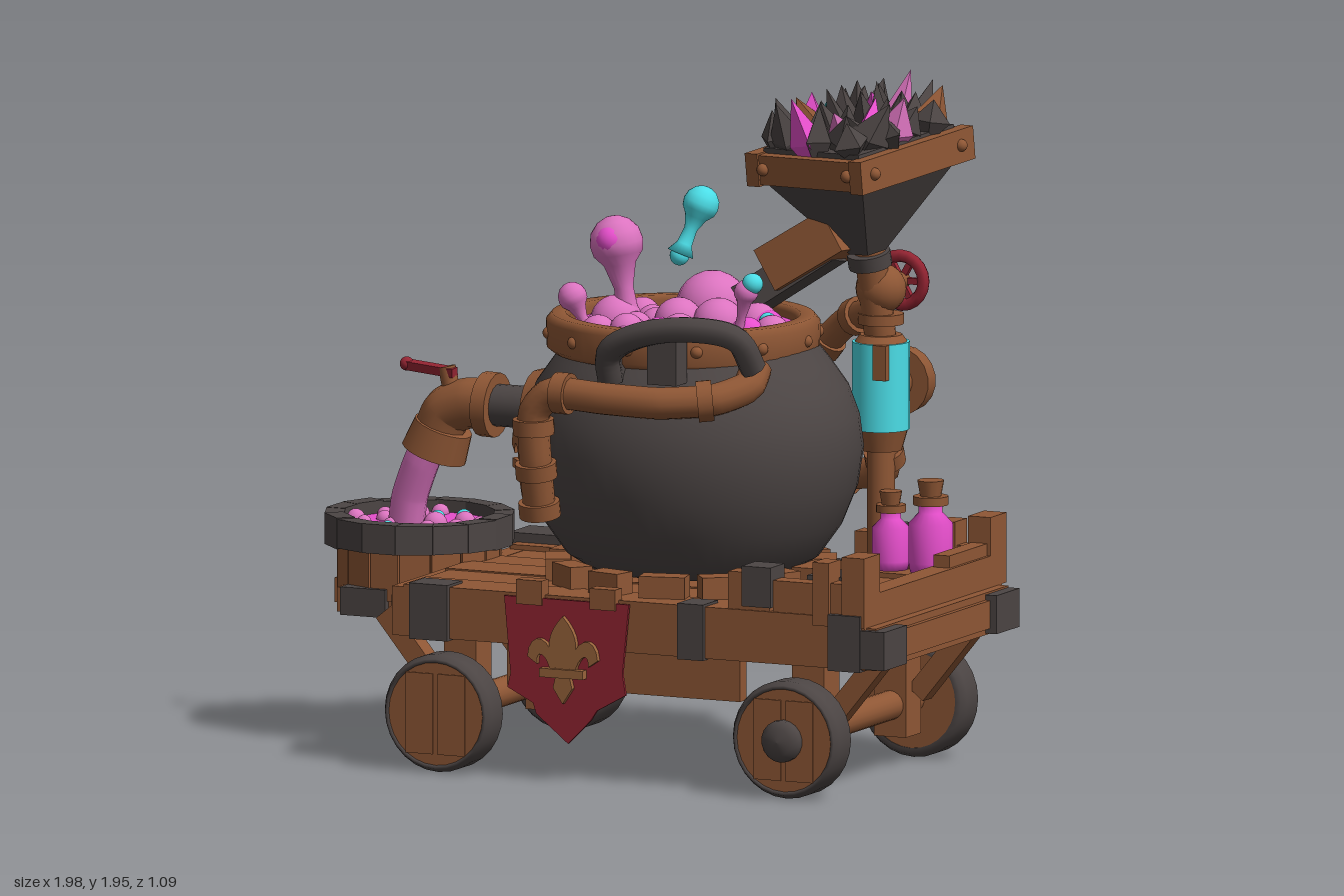
import * as THREE from 'three';

const M = {};
for (const [name, color] of Object.entries({
  wood: 0x8f5735, iron: 0x4c4544, magentaFluid: 0xf454d8, pinkBubble: 0xdc74c0,
  cyanGlass: 0x50eaf4, redCloth: 0x942432, tan: 0x9a653c,
})) M[name] = new THREE.MeshStandardMaterial({ color });
for (const k in M) M[k].name = k;

const V = (x, y, z) => new THREE.Vector3(x, y, z);
let seed = 7;
const rnd = (a = 0, b = 1) => { seed = (seed * 16807) % 2147483647; return a + (b - a) * seed / 2147483647; };

function add(parent, name, geo, mat, x = 0, y = 0, z = 0) {
  const m = new THREE.Mesh(geo, mat);
  m.name = name;
  m.position.set(x, y, z);
  parent.add(m);
  return m;
}
// box given by its min/max extents
const span = (p, name, mat, x0, x1, y0, y1, z0, z1) =>
  add(p, name, new THREE.BoxGeometry(x1 - x0, y1 - y0, z1 - z0), mat, (x0 + x1) / 2, (y0 + y1) / 2, (z0 + z1) / 2);
const ball = (p, name, mat, r, x, y, z) => add(p, name, new THREE.SphereGeometry(r, 18, 12), mat, x, y, z);
// any upright geometry laid from point a to point b
function between(p, name, geo, mat, a, b) {
  const m = add(p, name, geo, mat);
  m.position.copy(a).lerp(b, 0.5);
  m.quaternion.setFromUnitVectors(V(0, 1, 0), b.clone().sub(a).normalize());
  return m;
}
const rod = (p, name, mat, a, b, r, r2 = r) => between(p, name, new THREE.CylinderGeometry(r2, r, a.distanceTo(b), 18), mat, a, b);
const beam = (p, name, mat, a, b, w, d) => between(p, name, new THREE.BoxGeometry(w, a.distanceTo(b), d), mat, a, b);
// bent pipe with collars at the listed curve parameters
function pipe(p, name, mat, pts, r, collars = []) {
  const c = new THREE.CatmullRomCurve3(pts, false, 'catmullrom', 0.3);
  add(p, name, new THREE.TubeGeometry(c, 48, r, 12), mat);
  for (const t of collars) {
    const o = c.getPointAt(t), d = c.getTangentAt(t).multiplyScalar(0.022);
    rod(p, name + 'Collar', mat, o.clone().sub(d), o.clone().add(d), r * 1.28);
  }
}
const lathe = (pts, n = 48) => new THREE.LatheGeometry(pts.map(([x, y]) => new THREE.Vector2(x, y)), n);

// three-petal lily ornament, about one unit tall
function lily(parent, name, mat, size) {
  const g = new THREE.Group();
  g.name = name;
  const mid = new THREE.Shape();
  mid.moveTo(0, 0.5);
  mid.quadraticCurveTo(-0.3, 0.2, -0.07, -0.12);
  mid.lineTo(-0.12, -0.32); mid.lineTo(0, -0.5); mid.lineTo(0.12, -0.32); mid.lineTo(0.07, -0.12);
  mid.quadraticCurveTo(0.3, 0.2, 0, 0.5);
  const shapes = [mid];
  for (const s of [-1, 1]) {
    const q = new THREE.Shape();
    q.moveTo(s * 0.08, -0.14);
    q.bezierCurveTo(s * 0.12, 0.3, s * 0.42, 0.34, s * 0.44, 0.02);
    q.lineTo(s * 0.32, -0.06);
    q.bezierCurveTo(s * 0.34, 0.12, s * 0.2, 0.08, s * 0.15, -0.14);
    shapes.push(q);
  }
  add(g, name + 'Petals', new THREE.ExtrudeGeometry(shapes, { depth: 0.08, bevelEnabled: false, curveSegments: 8 }), mat);
  span(g, name + 'Band', mat, -0.27, 0.27, -0.2, -0.1, 0, 0.12);
  g.scale.setScalar(size);
  parent.add(g);
  return g;
}

function buildCart(g) {
  // deck planks, side rails and cross beams
  for (let i = 0; i < 6; i++) {
    const z = -0.41 + i * 0.147;
    span(g, 'deckPlank', M.wood, -0.52 + rnd(-0.015, 0.015), 0.93, 0.44, 0.515 + rnd(0, 0.02), z, z + 0.146);
  }
  for (const [z0, z1] of [[0.4, 0.47], [-0.42, -0.35]]) {
    span(g, 'sideRail', M.wood, -0.53, 0.93, 0.38, 0.52, z0, z1);
    span(g, 'lowerRail', M.wood, -0.2, 0.53, 0.26, 0.38, z0 + 0.01, z1 - 0.02);
    for (const [x, w] of [[-0.43, 0.12], [0.39, 0.08], [0.87, 0.1]])
      span(g, 'railBracket', M.iron, x - w / 2, x + w / 2, 0.375, 0.535, z0 - 0.015, z1 + 0.015);
    // low crate walls at the rear of the deck
    for (let i = 0; i < 3; i++)
      span(g, 'crateWall', M.wood, 0.5 + i * 0.14, 0.63 + i * 0.14, 0.5, 0.61 + rnd(0, 0.03), z0 + 0.005, z1 - 0.005);
    span(g, 'crateStrap', M.iron, 0.55, 0.64, 0.54, 0.655, z0 - 0.01, z1 + 0.012);
    span(g, 'cratePost', M.wood, 0.86, 0.93, 0.5, 0.7, z0 - 0.03, z1 + 0.005);
    span(g, 'crateStake', M.wood, 0.77, 0.82, 0.5, 0.68, z0, z1 + 0.008);
  }
  span(g, 'crateCorner', M.iron, 0.72, 0.83, 0.5, 0.63, 0.28, 0.41);
  span(g, 'endRail', M.wood, 0.9, 0.96, 0.38, 0.5, -0.4, 0.46);
  span(g, 'endStep', M.wood, 0.93, 0.975, 0.4, 0.48, -0.3, 0.36);
  span(g, 'endWall', M.wood, 0.86, 0.93, 0.5, 0.59, -0.4, 0.45);
  span(g, 'endWallBoard', M.wood, 0.87, 0.92, 0.59, 0.625, -0.36, -0.1);
  for (const [z0, z1] of [[-0.4, -0.25], [0.33, 0.48]]) span(g, 'endCap', M.iron, 0.92, 0.995, 0.385, 0.495, z0, z1);
  span(g, 'headRail', M.wood, -0.55, -0.49, 0.38, 0.52, -0.42, 0.47);
  span(g, 'headBracket', M.iron, -0.56, -0.36, 0.4, 0.56, -0.445, -0.31);
  span(g, 'headBracket', M.iron, -0.62, -0.52, 0.4, 0.47, 0.26, 0.33);
  // blocks that hold the pot
  for (let i = 0; i < 14; i++) {
    const a = i / 14 * Math.PI * 2;
    const b = add(g, 'potChock', new THREE.BoxGeometry(0.07, 0.1, rnd(0.1, 0.14)), M.wood, 0.165 + Math.cos(a) * 0.38, 0.54, 0.01 + Math.sin(a) * 0.36);
    b.rotation.y = -a;
  }
  // running gear
  for (const x of [-0.4, 0.69]) {
    rod(g, 'axle', M.wood, V(x, 0.17, -0.34), V(x, 0.17, 0.4), 0.042);
    for (const z of [-0.24, 0.29]) span(g, 'axlePost', M.wood, x - 0.05, x + 0.05, 0.08, 0.42, z - 0.05, z + 0.05);
    const s = Math.sign(x);
    for (const z of [-0.26, 0.31]) beam(g, 'strut', M.wood, V(x + s * 0.06, 0.2, z), V(x + s * 0.24, 0.42, z), 0.06, 0.06);
    for (const side of [-1, 1]) {
      const w = new THREE.Group();
      w.name = 'wheel';
      w.position.set(x, 0.168, side > 0 ? 0.445 : -0.38);
      w.rotation.x = side * Math.PI / 2;
      add(w, 'wheelTyre', lathe([[0.14, -0.056], [0.157, -0.056], [0.168, -0.035], [0.168, 0.035], [0.157, 0.056], [0.148, 0.056], [0.14, 0.04], [0.14, -0.056]], 28), M.iron);
      add(w, 'wheelDisc', new THREE.CylinderGeometry(0.147, 0.147, 0.106, 28), M.wood);
      for (const px of [-0.05, 0.05]) span(w, 'wheelPlank', M.wood, px - 0.042, px + 0.042, 0.03, 0.058, -0.115, 0.115);
      if (x > 0 || side < 0) add(w, 'wheelHub', lathe([[0.06, 0.04], [0.06, 0.075], [0.04, 0.095], [0, 0.1]], 18), M.iron);
      g.add(w);
    }
  }
  // hanging banners
  const cloth = new THREE.Shape();
  [[-0.19, 0.52], [-0.17, 0.3], [-0.18, 0.26], [-0.1, 0.22], [-0.09, 0.19], [0.01, 0.11], [0.08, 0.18], [0.1, 0.21], [0.19, 0.26], [0.18, 0.32], [0.2, 0.52]]
    .forEach(([x, y], i) => i ? cloth.lineTo(x, y) : cloth.moveTo(x, y));
  for (const s of [1, -1]) {
    const b = new THREE.Group();
    b.name = 'banner';
    add(b, 'bannerCloth', new THREE.ExtrudeGeometry(cloth, { depth: 0.009, bevelEnabled: false }), M.redCloth);
    lily(b, 'bannerLily', M.tan, 0.25).position.set(0, 0.35, 0.005);
    span(b, 'bannerClamp', M.wood, -0.15, -0.07, 0.5, 0.57, -0.03, 0.015);
    span(b, 'bannerClamp', M.wood, 0.08, 0.16, 0.5, 0.56, -0.03, 0.015);
    b.position.z = s > 0 ? 0.48 : -0.43;
    if (s < 0) b.rotation.y = Math.PI;
    g.add(b);
  }
  // potion bottles
  for (const [x, z, k] of [[0.765, -0.3, 1], [0.64, -0.3, 0.85]]) {
    const b = add(g, 'bottle', lathe([[0, 0], [0.058, 0], [0.063, 0.03], [0.063, 0.14], [0.034, 0.17], [0.034, 0.2]], 18), M.magentaFluid, x, 0.54, z);
    b.scale.setScalar(k);
    add(b, 'bottleLip', new THREE.CylinderGeometry(0.05, 0.05, 0.025, 16), M.wood, 0, 0.205, 0);
    add(b, 'cork', new THREE.CylinderGeometry(0.038, 0.03, 0.045, 12), M.wood, 0, 0.24, 0);
  }
}

function buildBucket(g) {
  const cx = -0.72, cz = -0.06;
  [-0.86, -0.95, -0.87].forEach((x, i) => span(g, 'bucketShelf', M.wood, x, -0.5, 0.38, 0.45, -0.285 + i * 0.15, -0.137 + i * 0.15));
  span(g, 'shelfStrap', M.iron, -0.85, -0.71, 0.375, 0.455, 0.1, 0.185);
  for (let i = 0; i < 16; i++) {
    const a = i / 16 * Math.PI * 2, c = Math.cos(a), s = Math.sin(a);
    const st = add(g, 'bucketStave', new THREE.BoxGeometry(0.03, 0.18, 0.086), M.wood, cx + c * 0.215, 0.51, cz + s * 0.215);
    const h = add(g, 'bucketHoop', new THREE.BoxGeometry(0.055, 0.08 + rnd(0, 0.01), 0.104), M.iron, cx + c * 0.238, 0.602, cz + s * 0.238);
    st.rotation.y = h.rotation.y = -a;
  }
  add(g, 'bucketFluid', new THREE.CylinderGeometry(0.22, 0.2, 0.16, 24), M.magentaFluid, cx, 0.53, cz);
  for (let i = 0; i < 18; i++) {
    const a = i * 2.4, r = 0.05 + 0.15 * Math.sqrt(i / 18), cyan = i % 4 === 2;
    ball(g, 'bucketBubble', cyan ? M.cyanGlass : M.pinkBubble, cyan ? 0.022 : rnd(0.018, 0.036), cx + Math.cos(a) * r, 0.612, cz + Math.sin(a) * r);
  }
  // spout, tap and poured stream
  const z = -0.03;
  rod(g, 'spoutFlange', M.wood, V(-0.25, 0.97, z), V(-0.34, 0.97, z), 0.13, 0.11);
  rod(g, 'spoutNeck', M.iron, V(-0.3, 0.97, z), V(-0.5, 0.97, z), 0.06);
  pipe(g, 'spout', M.wood, [V(-0.47, 0.97, z), V(-0.55, 0.97, z), V(-0.62, 0.94, z), V(-0.66, 0.84, z)], 0.072, [0.05]);
  rod(g, 'spoutLip', M.wood, V(-0.63, 0.9, z), V(-0.66, 0.82, z), 0.085, 0.095);
  pipe(g, 'stream', M.pinkBubble, [V(-0.66, 0.87, z), V(-0.7, 0.79, z), V(-0.74, 0.69, z - 0.01), V(-0.76, 0.58, z - 0.02)], 0.052);
  rod(g, 'tapStem', M.wood, V(-0.6, 0.98, z), V(-0.62, 1.07, z), 0.025);
  beam(g, 'tapHandle', M.redCloth, V(-0.75, 1.065, z - 0.01), V(-0.59, 1.055, z + 0.01), 0.025, 0.03);
  ball(g, 'tapKnob', M.redCloth, 0.02, -0.75, 1.067, z - 0.01);
}

function buildPot(g) {
  const body = add(g, 'potBody', lathe([[0, 0.56], [0.3, 0.56], [0.365, 0.6], [0.43, 0.69], [0.475, 0.8], [0.492, 0.91], [0.48, 1.0], [0.45, 1.08], [0.4, 1.15], [0.36, 1.2]]), M.iron, 0.165, 0, 0);
  body.scale.z = 0.9;
  add(g, 'potRim', lathe([[0.325, 1.17], [0.37, 1.17], [0.39, 1.185], [0.392, 1.26], [0.375, 1.28], [0.335, 1.28], [0.325, 1.265], [0.325, 1.17]]), M.wood, 0.135, 0, 0).scale.z = 0.94;
  for (let i = 0; i < 12; i++) ball(g, 'rimRivet', M.wood, 0.018, 0.135 + Math.cos(i * 0.5236) * 0.385, 1.225, Math.sin(i * 0.5236) * 0.362);
  add(g, 'potFluid', new THREE.CylinderGeometry(0.33, 0.33, 0.04, 36), M.magentaFluid, 0.135, 1.225, 0).scale.z = 0.94;
  for (let i = 0; i < 36; i++) {
    const a = i * 2.4, r = 0.27 * Math.sqrt((i + 0.5) / 36);
    ball(g, 'bubble', i % 5 === 1 ? M.magentaFluid : M.pinkBubble, rnd(0.025, 0.055), 0.15 + Math.cos(a) * r, 1.24, 0.02 + Math.sin(a) * r * 0.94);
  }
  for (const [x, y, z, r] of [[0.14, 1.27, -0.18, 0.105], [0.26, 1.26, 0.03, 0.075], [-0.05, 1.25, 0.05, 0.075], [0.14, 1.26, 0.04, 0.07], [0.05, 1.25, 0.19, 0.05], [0.2, 1.25, 0.16, 0.055], [0.33, 1.25, -0.08, 0.06]])
    ball(g, 'bigBubble', M.pinkBubble, r, x, y, z);
  // splashes: lathed stems with round heads
  const splash = (name, mat, r, foot, head) => {
    const d = head.clone().sub(foot), L = d.length();
    const m = add(g, name, lathe([[0, 0], [r * 0.75, 0], [r * 0.42, L * 0.2], [r * 0.36, L * 0.5], [r * 0.6, L - r * 0.8], [r * 0.92, L - r * 0.4], [r, L], [r * 0.9, L + r * 0.44], [r * 0.6, L + r * 0.8], [r * 0.25, L + r * 0.97], [0, L + r]], 20), mat);
    m.position.copy(foot);
    m.quaternion.setFromUnitVectors(V(0, 1, 0), d.normalize());
  };
  splash('tallSplash', M.pinkBubble, 0.077, V(-0.01, 1.22, 0.04), V(-0.05, 1.475, 0.05));
  splash('smallSplash', M.pinkBubble, 0.042, V(-0.07, 1.22, 0.17), V(-0.12, 1.335, 0.19));
  splash('sideSplash', M.pinkBubble, 0.035, V(0.34, 1.22, 0.08), V(0.38, 1.37, 0.1));
  ball(g, 'splashSpot', M.magentaFluid, 0.046, -0.05, 1.485, 0.084);
  ball(g, 'cyanBubble', M.cyanGlass, 0.03, 0.4, 1.395, 0.1);
  ball(g, 'cyanBubble', M.cyanGlass, 0.025, 0.39, 1.27, -0.02);
  splash('cyanDrop', M.cyanGlass, 0.052, V(0.16, 1.46, 0.07), V(0.205, 1.6, 0.03));
  ball(g, 'cyanDropTip', M.cyanGlass, 0.028, 0.158, 1.455, 0.072);
  // side handle
  const arch = new THREE.CatmullRomCurve3([V(0.09, 1.14, 0.38), V(0.1, 1.22, 0.41), V(0.2, 1.28, 0.425), V(0.36, 1.305, 0.41), V(0.48, 1.28, 0.37), V(0.51, 1.19, 0.32)]);
  add(g, 'potHandle', new THREE.TubeGeometry(arch, 30, 0.038, 8), M.iron);
  span(g, 'handlePlate', M.iron, 0.22, 0.31, 1.14, 1.28, 0.34, 0.41);
  span(g, 'handlePlate', M.iron, 0.06, 0.12, 1.14, 1.22, 0.32, 0.4);
  // lily ornaments on the pot wall
  for (const s of [-1, 1]) {
    const l = lily(g, 'potLily', M.wood, 0.26);
    l.position.set(0.165 - 0.375, 0.9, s * 0.285);
    l.rotation.y = s > 0 ? -0.87 : -Math.PI + 0.87;
  }
}

function buildPipes(g) {
  pipe(g, 'frontPipe', M.wood, [V(-0.12, 0.74, 0.4), V(-0.12, 0.9, 0.43), V(-0.12, 1.04, 0.44), V(-0.06, 1.1, 0.44), V(0.1, 1.095, 0.44), V(0.26, 1.09, 0.42), V(0.4, 1.1, 0.36), V(0.47, 1.13, 0.28), V(0.47, 1.18, 0.22)], 0.046, [0.02, 0.13, 0.25, 0.4, 0.8]);
  pipe(g, 'lowerBackPipe', M.wood, [V(0.58, 0.9, -0.36), V(0.57, 0.81, -0.41), V(0.48, 0.78, -0.45), V(0.25, 0.76, -0.45), V(0, 0.75, -0.44), V(-0.12, 0.72, -0.43), V(-0.16, 0.64, -0.42), V(-0.16, 0.5, -0.41)], 0.045, [0.06, 0.25, 0.5, 0.75, 0.9]);
  pipe(g, 'upperBackPipe', M.wood, [V(0.57, 1.27, -0.34), V(0.45, 1.22, -0.42), V(0.36, 1.14, -0.45), V(0.31, 1.02, -0.46), V(0.27, 0.9, -0.46), V(0.25, 0.76, -0.45)], 0.042, [0.15, 0.4, 0.65, 0.9]);
  // glass tank and feed column
  const x = 0.585, z = -0.35;
  rod(g, 'tankGlass', M.cyanGlass, V(x, 0.93, z), V(x, 1.18, z), 0.082);
  rod(g, 'tankBase', M.wood, V(x, 0.87, z), V(x, 0.94, z), 0.06, 0.08);
  rod(g, 'tankCap', M.wood, V(x, 1.172, z), V(x, 1.2, z), 0.08, 0.06);
  rod(g, 'drainPipe', M.wood, V(x, 0.5, z), V(x, 0.9, z), 0.04);
  span(g, 'tankStrap', M.wood, 0.6, 0.64, 1.08, 1.18, -0.3, -0.265);
  rod(g, 'feedPipe', M.wood, V(x, 1.18, z), V(0.57, 1.48, -0.3), 0.045);
  ball(g, 'feedJoint', M.wood, 0.072, x, 1.33, z);
  rod(g, 'feedBand', M.iron, V(0.572, 1.4, -0.31), V(0.57, 1.44, -0.3), 0.062);
  rod(g, 'feedCollar', M.wood, V(x, 1.23, z), V(x, 1.26, z), 0.065);
  // gauge and valve wheel on the back
  rod(g, 'gaugeStem', M.wood, V(x, 1.05, -0.4), V(x, 1.05, -0.47), 0.05);
  rod(g, 'gauge', M.wood, V(x, 1.05, -0.45), V(x, 1.05, -0.51), 0.1, 0.095);
  rod(g, 'gaugeFace', M.iron, V(x, 1.05, -0.505), V(x, 1.05, -0.514), 0.065);
  rod(g, 'valveStem', M.wood, V(0.6, 1.34, z), V(0.6, 1.34, -0.46), 0.025);
  add(g, 'valveWheel', new THREE.TorusGeometry(0.07, 0.018, 8, 20), M.redCloth, 0.6, 1.34, -0.45);
  for (let i = 0; i < 3; i++) add(g, 'valveSpoke', new THREE.BoxGeometry(0.14, 0.018, 0.018), M.redCloth, 0.6, 1.34, -0.45).rotation.z = i * Math.PI / 3;
  // chute into the pot
  beam(g, 'chute', M.iron, V(0.22, 1.28, -0.2), V(0.48, 1.455, -0.25), 0.09, 0.12);
  beam(g, 'chuteHood', M.wood, V(0.32, 1.385, -0.24), V(0.52, 1.51, -0.26), 0.13, 0.22);
}

function buildHopper(g) {
  const h = new THREE.Group();
  h.name = 'hopper';
  h.position.set(0.57, 1.725, -0.245);
  h.rotation.set(0.08, -0.21, 0.05);
  const f = new THREE.CylinderGeometry(Math.SQRT1_2, 0.12, 0.27, 4).rotateY(Math.PI / 4).scale(0.39, 1, 0.49).toNonIndexed();
  f.computeVertexNormals();
  add(h, 'funnel', f, M.iron, 0, -0.145, 0);
  for (const s of [-1, 1]) {
    span(h, 'rimBeam', M.wood, s * 0.185 - 0.022, s * 0.185 + 0.022, -0.05, 0.045, -0.26, 0.26);
    span(h, 'rimBeam', M.wood, -0.2, 0.2, -0.045, 0.04, s * 0.232 - 0.022, s * 0.232 + 0.022);
    for (const t of [-1, 1]) {
      ball(h, 'rimBolt', M.wood, 0.018, s * 0.207, 0, t * 0.2);
      ball(h, 'rimBolt', M.wood, 0.018, s * 0.15, 0, t * 0.254);
    }
  }
  // heaped ore shards
  span(h, 'oreBed', M.iron, -0.17, 0.17, -0.02, 0.055, -0.22, 0.22);
  for (let i = 0; i < 42; i++) {
    const x = ((i % 6) - 2.5) * 0.06, z = (Math.floor(i / 6) - 3) * 0.062;
    const mat = i === 12 ? M.cyanGlass : i % 5 === 3 ? (i % 2 ? M.pinkBubble : M.magentaFluid) : i % 19 === 5 ? M.wood : M.iron;
    const s = add(h, 'oreShard', new THREE.OctahedronGeometry(1), mat, x + rnd(-0.02, 0.02), 0.08, z + rnd(-0.02, 0.02));
    s.scale.set(rnd(0.04, 0.06), rnd(0.08, 0.14) - Math.abs(x) * 0.12, rnd(0.035, 0.055));
    s.rotation.set(z * 1.6 + rnd(-0.35, 0.35), rnd(0, 3), -x * 1.8 + rnd(-0.35, 0.35));
  }
  g.add(h);
}

export function createModel() {
  seed = 7;
  const root = new THREE.Group();
  root.name = 'cauldronCart';
  for (const [name, build] of [['cart', buildCart], ['bucketAndSpout', buildBucket], ['pot', buildPot], ['pipework', buildPipes], ['oreHopper', buildHopper]]) {
    const g = new THREE.Group();
    g.name = name;
    build(g);
    root.add(g);
  }
  return root;
}
